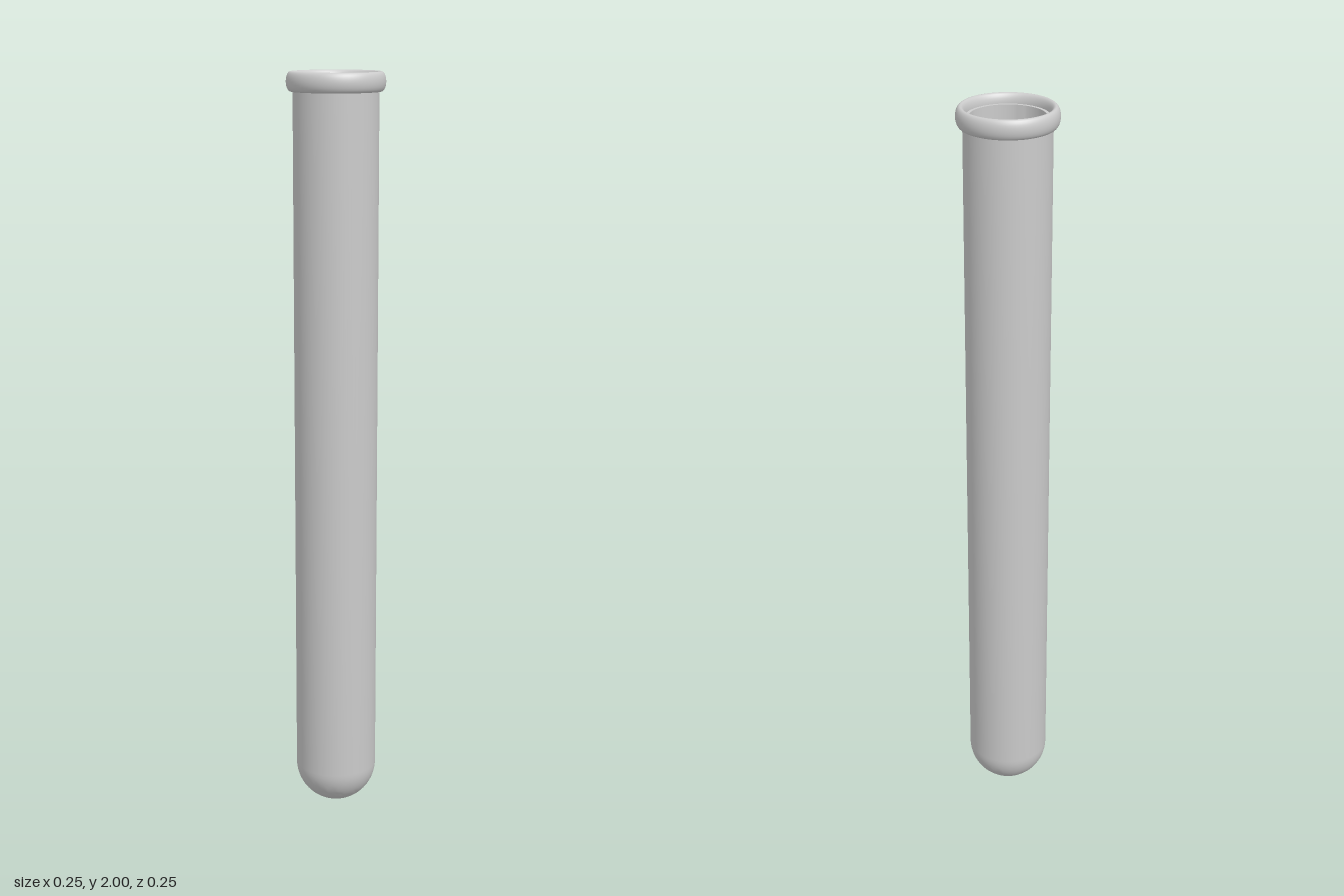
import * as THREE from 'three';
import { toCreasedNormals } from 'three/addons/utils/BufferGeometryUtils.js';

const OUTER = 0.11, INNER = 0.095, WALL_TOP = 1.975;
const SEGMENTS = 64, ARC_STEPS = 16;

// Quarter arc from the bottom pole up to the straight wall
function bottomArc(radius) {
  const points = [];
  for (let i = 0; i <= ARC_STEPS; i++) {
    const a = (i / ARC_STEPS) * Math.PI / 2;
    points.push(new THREE.Vector2(radius * Math.sin(a), OUTER - radius * Math.cos(a)));
  }
  return points;
}

export function createModel() {
  const model = new THREE.Group();
  model.name = 'testTube';
  const material = new THREE.MeshStandardMaterial({ color: 0xcccccc });

  // Hollow tube: outside upwards, across the lip, inside back down
  const profile = [
    ...bottomArc(OUTER),
    new THREE.Vector2(OUTER, WALL_TOP),
    new THREE.Vector2(INNER, WALL_TOP),
    ...bottomArc(INNER).reverse(),
  ];
  const tubeGeometry = toCreasedNormals(new THREE.LatheGeometry(profile, SEGMENTS), Math.PI / 5);
  const tube = new THREE.Mesh(tubeGeometry, material);
  tube.name = 'tube';
  model.add(tube);

  // Rolled rim: a ring with a tall oval section, rising above the wall
  const rimGeometry = new THREE.TorusGeometry(0.115, 0.012, 24, SEGMENTS);
  rimGeometry.rotateX(Math.PI / 2);
  rimGeometry.scale(1, 0.025 / 0.012, 1);
  const rim = new THREE.Mesh(rimGeometry, material);
  rim.name = 'rim';
  rim.position.y = WALL_TOP;
  model.add(rim);

  return model;
}
